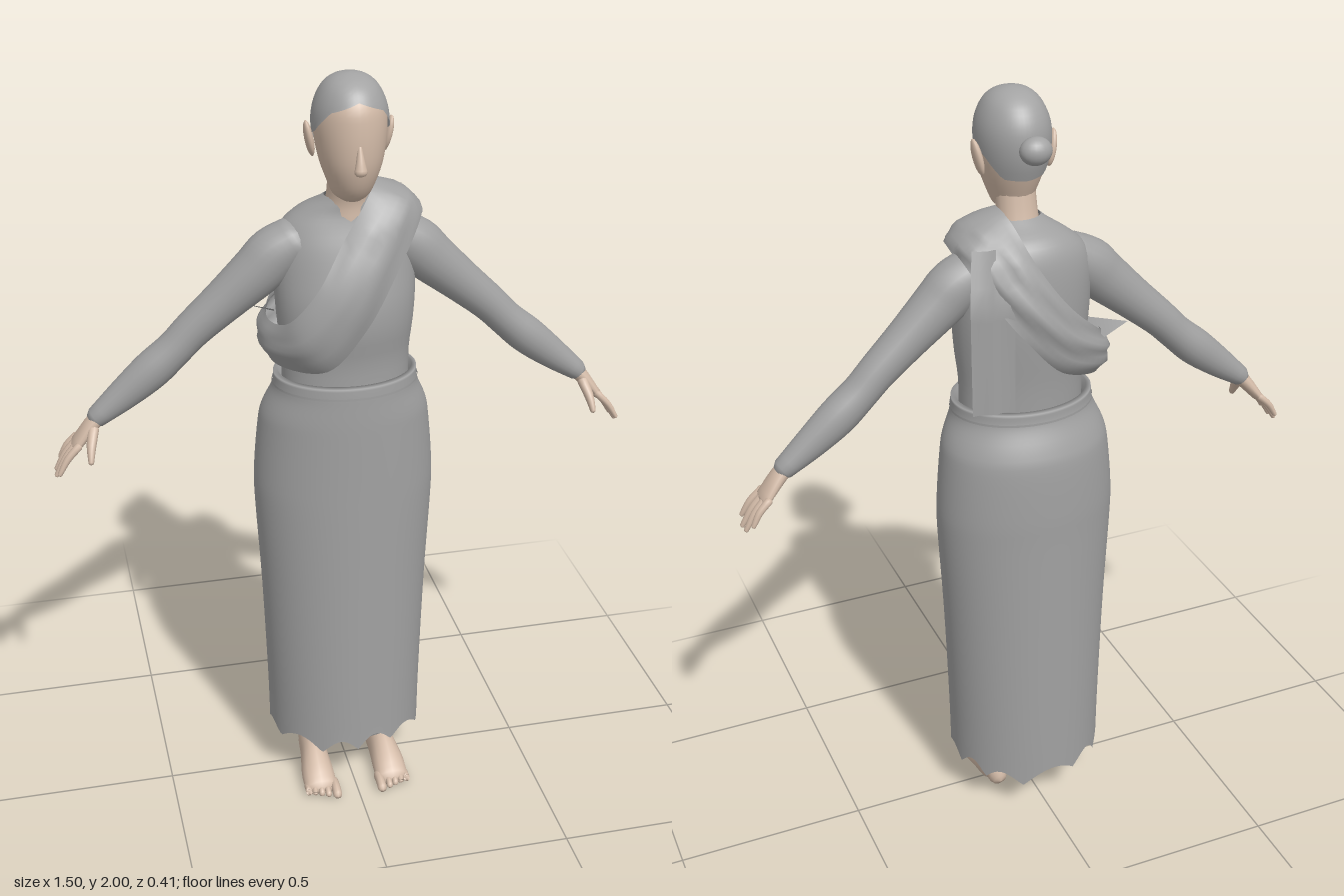
import * as THREE from 'three';

const V = (x, y, z) => new THREE.Vector3(x, y, z);
const TAU = Math.PI * 2;

const cloth = new THREE.MeshStandardMaterial({ color: 0xa0a0a0, side: THREE.DoubleSide });
cloth.name = 'grey cloth';
const skin = new THREE.MeshStandardMaterial({ color: 0xd3bba8 });
skin.name = 'skin';
const hairGrey = new THREE.MeshStandardMaterial({ color: 0xa3a3a3, side: THREE.DoubleSide });
hairGrey.name = 'grey hair';

// Skin over rows of points; closed rows wrap around
function loft(name, rows, mat, closed = true) {
  const n = rows[0].length, pos = [], idx = [];
  rows.forEach(r => r.forEach(p => pos.push(p.x, p.y, p.z)));
  for (let i = 0; i < rows.length - 1; i++) {
    for (let j = 0; j < (closed ? n : n - 1); j++) {
      const k = (j + 1) % n, a = i * n + j, b = i * n + k;
      idx.push(a, b, b + n, a, b + n, a + n);
    }
  }
  const g = new THREE.BufferGeometry();
  g.setAttribute('position', new THREE.Float32BufferAttribute(pos, 3));
  g.setIndex(idx);
  g.computeVertexNormals();
  const m = new THREE.Mesh(g, mat);
  m.name = name;
  return m;
}

// Round-ended tube through [x, y, z, ru, rv]; rv lies along the hint direction
function limb(name, pts, mat, hint = V(0, 0, 1), n = 16, steps = 4) {
  const path = new THREE.CatmullRomCurve3(pts.map(p => V(p[0], p[1], p[2])), false, 'catmullrom');
  const size = new THREE.CatmullRomCurve3(pts.map(p => V(p[3], p[4], 0)), false, 'catmullrom');
  const rows = [], count = (pts.length - 1) * steps;
  const ring = (t, slide, scale) => {
    const d = path.getTangent(t), s = size.getPoint(t);
    const v = hint.clone().addScaledVector(d, -hint.dot(d)).normalize();
    const u = d.clone().cross(v);
    const c = path.getPoint(t).addScaledVector(d, slide * Math.min(s.x, s.y));
    rows.push(Array.from({ length: n }, (_, j) => {
      const a = j / n * TAU;
      const p = c.clone().addScaledVector(u, Math.sin(a) * s.x * scale).addScaledVector(v, Math.cos(a) * s.y * scale);
      p.y = Math.max(0, p.y);
      return p;
    }));
  };
  ring(0, -0.75, 0); ring(0, -0.5, 0.7);
  for (let i = 0; i <= count; i++) ring(i / count, 0, 1);
  ring(1, 0.5, 0.7); ring(1, 0.75, 0);
  return loft(name, rows, mat);
}

// Horizontal oval point from a section [y, halfWidth, zFront, zBack]
function oval([y, rx, zf, zb], a, grow = 0) {
  return V(Math.sin(a) * (rx + grow), y, (zf + zb) / 2 + Math.cos(a) * ((zf - zb) / 2 + grow));
}
function smoothSections(t, steps) {
  const a = new THREE.CatmullRomCurve3(t.map(s => V(s[0], s[1], 0)), false, 'catmullrom');
  const b = new THREE.CatmullRomCurve3(t.map(s => V(s[2], s[3], 0)), false, 'catmullrom');
  const n = (t.length - 1) * steps;
  return Array.from({ length: n + 1 }, (_, i) => {
    const p = a.getPoint(i / n), q = b.getPoint(i / n);
    return [p.x, p.y, q.x, q.y];
  });
}
const angles = n => Array.from({ length: n }, (_, j) => j / n * TAU);

// Linear lookup in a table keyed by its first column
function lookup(table, k) {
  let i = 0;
  while (i < table.length - 2 && k > table[i + 1][0]) i++;
  const f = THREE.MathUtils.clamp((k - table[i][0]) / (table[i + 1][0] - table[i][0]), 0, 1);
  return table[i].map((v, c) => v + (table[i + 1][c] - v) * f);
}

const HEAD = smoothSections([
  [1.70, 0.025, 0.105, 0.04], [1.715, 0.045, 0.125, 0.01], [1.745, 0.058, 0.145, -0.005], [1.79, 0.074, 0.16, -0.025],
  [1.84, 0.084, 0.165, -0.042], [1.89, 0.087, 0.164, -0.047], [1.93, 0.08, 0.158, -0.04],
  [1.965, 0.063, 0.137, -0.018], [1.985, 0.042, 0.108, 0.012], [1.994, 0.02, 0.08, 0.038], [1.997, 0, 0.06, 0.06]], 3);
const HAIRLINE = [[0, 1.95], [45, 1.925], [78, 1.87], [108, 1.852], [140, 1.80], [180, 1.795]];

function buildHead(g) {
  g.add(loft('head', HEAD.filter(s => s[0] < 1.99).map(s => angles(32).map(a => oval(s, a))), skin));
  g.add(limb('neck', [[0, 1.63, 0.02, 0.062, 0.055], [0, 1.69, 0.028, 0.052, 0.046], [0, 1.76, 0.045, 0.05, 0.05]], skin));
  g.add(limb('nose', [[0, 1.85, 0.16, 0.005, 0.006], [0, 1.815, 0.169, 0.011, 0.011], [0, 1.792, 0.173, 0.016, 0.014]], skin));
  // Hair cap rises from the hairline to the crown
  const rows = [];
  for (let k = 0; k <= 16; k++) {
    const f = Math.sin(k / 16 * Math.PI / 2);
    rows.push(angles(48).map(a => {
      const low = lookup(HAIRLINE, Math.min(a, TAU - a) * 180 / Math.PI)[1];
      const s = lookup(HEAD, low + (1.997 - low) * f);
      const p = oval(s, a, k === 16 ? 0 : 0.005);
      p.y += 0.003 * f;
      return p;
    }));
  }
  g.add(loft('hair', rows, hairGrey));
  const bun = new THREE.Mesh(new THREE.SphereGeometry(1, 20, 14), hairGrey);
  bun.name = 'hairBun';
  bun.scale.set(0.04, 0.034, 0.032);
  bun.position.set(0, 1.885, -0.082);
  g.add(bun);
  for (const s of [1, -1]) {
    const ear = new THREE.Mesh(new THREE.SphereGeometry(1, 14, 10), skin);
    ear.name = s > 0 ? 'leftEar' : 'rightEar';
    ear.scale.set(0.011, 0.046, 0.022);
    ear.position.set(s * 0.095, 1.843, 0.043);
    ear.rotation.set(0.15, 0, -s * 0.2);
    g.add(ear);
  }
}

function buildArm(g, s) {
  const side = s > 0 ? 'left' : 'right';
  const add = (name, pts, mat, n, steps) => g.add(limb(side + name,
    pts.map(([x, ...r]) => [s * x, ...r]), mat, V(0, 0, 1), n, steps));
  add('Sleeve', [[0.12, 1.58, 0, 0.06, 0.065], [0.175, 1.546, 0, 0.069, 0.064], [0.22, 1.505, 0, 0.065, 0.06],
    [0.3, 1.435, -0.004, 0.055, 0.052], [0.38, 1.365, -0.008, 0.048, 0.047], [0.43, 1.315, -0.009, 0.046, 0.046],
    [0.49, 1.262, -0.01, 0.049, 0.046], [0.56, 1.205, -0.01, 0.041, 0.038], [0.635, 1.147, -0.009, 0.027, 0.03]], cloth, 20);
  add('Palm', [[0.62, 1.158, -0.008, 0.02, 0.024], [0.65, 1.128, -0.008, 0.019, 0.03], [0.69, 1.079, -0.01, 0.013, 0.04]], skin);
  // Four fingers fanned across the palm, then the thumb
  [[0.022, 0.034, 0.738, 1.018], [-0.001, 0.006, 0.745, 1.003], [-0.023, -0.024, 0.743, 1.006], [-0.043, -0.05, 0.73, 1.028]]
    .forEach(([z0, z1, x, y], i) => add('Finger' + (i + 1), [[0.685, 1.086, z0, 0.01, 0.011],
      [(0.685 + x) / 2 + 0.004, (1.086 + y) / 2 + 0.003, (z0 + z1) / 2, 0.009, 0.0105], [x, y, z1, 0.006, 0.008]], skin, 10, 3));
  add('Thumb', [[0.645, 1.125, 0.012, 0.014, 0.014], [0.655, 1.092, 0.042, 0.012, 0.014], [0.66, 1.058, 0.066, 0.007, 0.009]], skin, 10, 3);
}

function buildLeg(g, s) {
  const side = s > 0 ? 'left' : 'right', up = V(0, 1, 0);
  g.add(limb(side + 'Leg', [[s * 0.095, 0.05, -0.025, 0.034, 0.036], [s * 0.093, 0.13, -0.025, 0.032, 0.036],
    [s * 0.09, 0.25, -0.03, 0.042, 0.048], [s * 0.09, 0.5, -0.02, 0.055, 0.06]], skin));
  g.add(limb(side + 'Foot', [[s * 0.095, 0.03, -0.052, 0.026, 0.034], [s * 0.096, 0.045, -0.02, 0.034, 0.052],
    [s * 0.099, 0.04, 0.04, 0.037, 0.06], [s * 0.102, 0.026, 0.11, 0.045, 0.045], [s * 0.102, 0.014, 0.16, 0.045, 0.026]], skin, up));
  for (let i = 0; i < 5; i++) {
    const r = i ? 0.0085 : 0.0125, x = i ? 0.07 + i * 0.0175 : 0.064, tip = i ? 0.2 - i * 0.007 : 0.2;
    g.add(limb(side + 'Toe' + (i + 1), [[s * x, 0.017, 0.145, r, r * 1.2], [s * x, 0.018, 0.175, r, r * 1.2],
      [s * x, 0.012, tip, r, r]], skin, up, 10, 3));
  }
}

function buildClothes(g) {
  const torso = smoothSections([[1.19, 0.163, 0.125, -0.105], [1.28, 0.164, 0.125, -0.108], [1.36, 0.172, 0.137, -0.115],
    [1.43, 0.177, 0.135, -0.12], [1.5, 0.178, 0.118, -0.12], [1.57, 0.175, 0.098, -0.115], [1.62, 0.155, 0.08, -0.105],
    [1.655, 0.115, 0.07, -0.085], [1.68, 0.075, 0.068, -0.045], [1.695, 0.056, 0.066, -0.022]], 3);
  g.add(loft('bodice', torso.map(s => angles(40).map(a => oval(s, a))), cloth));

  // Long skirt with a ragged hem
  const skirt = smoothSections([[0.14, 0.21, 0.175, -0.2], [0.3, 0.213, 0.172, -0.198], [0.6, 0.223, 0.165, -0.193],
    [0.85, 0.236, 0.16, -0.19], [0.95, 0.236, 0.158, -0.19], [1.08, 0.224, 0.156, -0.184], [1.13, 0.214, 0.155, -0.172],
    [1.18, 0.192, 0.153, -0.15], [1.205, 0.186, 0.152, -0.142], [1.23, 0.184, 0.15, -0.14]], 4);
  skirt.push([1.232, 0.172, 0.135, -0.125], [1.19, 0.165, 0.126, -0.106]);
  const rows = skirt.map((s, i) => angles(120).map(a => {
    const p = oval(s, a);
    if (i === 0) p.y = 0.122 + 0.018 * Math.cos(a) + 0.036 * Math.abs(Math.sin(5.5 * a + 0.5 * Math.sin(3 * a))) + 0.008 * Math.sin(4 * a);
    return p;
  }));
  g.add(loft('skirt', rows, cloth));
  g.add(loft('waistbandSeam', [1.2, 1.206].map(y => angles(40).map(a => oval([y, 0.188, 0.154, -0.144], a))), cloth));

  // Sash over the left shoulder and under the right arm, between two edge loops
  const inner = new THREE.CatmullRomCurve3([[0.05, 1.705, 0.06], [-0.03, 1.6, 0.115], [-0.1, 1.49, 0.145], [-0.165, 1.41, 0.12],
    [-0.2, 1.385, 0.02], [-0.175, 1.4, -0.08], [-0.07, 1.5, -0.138], [0.02, 1.63, -0.118], [0.055, 1.72, -0.035], [0.06, 1.727, 0.015]]
    .map(p => V(...p)), true);
  const outer = new THREE.CatmullRomCurve3([[0.18, 1.64, 0.055], [0.1, 1.52, 0.13], [0.02, 1.385, 0.155], [-0.075, 1.28, 0.14],
    [-0.182, 1.275, 0.055], [-0.178, 1.28, -0.07], [-0.05, 1.33, -0.137], [0.06, 1.45, -0.142], [0.17, 1.61, -0.085], [0.19, 1.645, 0]]
    .map(p => V(...p)), true);
  const band = [];
  for (let k = 0; k <= 8; k++) {
    const f = k / 8;
    band.push(Array.from({ length: 80 }, (_, j) => {
      const t = j / 80, p = outer.getPoint(t).lerp(inner.getPoint(t), f);
      const out = V(p.x, 0, p.z).normalize();
      const back = p.z < -0.03 ? 0.006 : 0.002;
      p.addScaledVector(out, 0.026 * Math.sin(f * Math.PI) + back * Math.sin(f * 16 + t * 20));
      p.y += 0.01 * Math.sin(f * Math.PI) * (p.y > 1.6 ? 1 : 0);
      return p;
    }));
  }
  // Loops run clockwise from above, so each row is reversed
  g.add(loft('sash', band.map(r => r.reverse()), cloth));

  // Loose end hanging behind the left shoulder
  const tail = [];
  for (let i = 0; i <= 10; i++) {
    const y = 1.26 + i * 0.041, lean = Math.max(0, i - 7) * 0.014;
    tail.push(Array.from({ length: 7 }, (_, j) => V(0.19 - j * 0.019 - lean * 0.5,
      y - j * 0.002, -0.142 + j * 0.001 + lean + 0.004 * Math.sin(j * 1.6 + i * 0.2))));
  }
  g.add(loft('sashTail', tail, cloth, false));

  // Pointed corner of cloth under the right arm
  g.add(loft('sashCorner', [[V(-0.16, 1.36, -0.08), V(-0.17, 1.365, 0.03)],
    [V(-0.262, 1.4, -0.065), V(-0.18, 1.4, 0)]], cloth, false));
}

export function createModel() {
  const g = new THREE.Group();
  g.name = 'robedFigure';
  buildHead(g);
  buildClothes(g);
  for (const s of [1, -1]) {
    buildArm(g, s);
    buildLeg(g, s);
  }
  return g;
}
